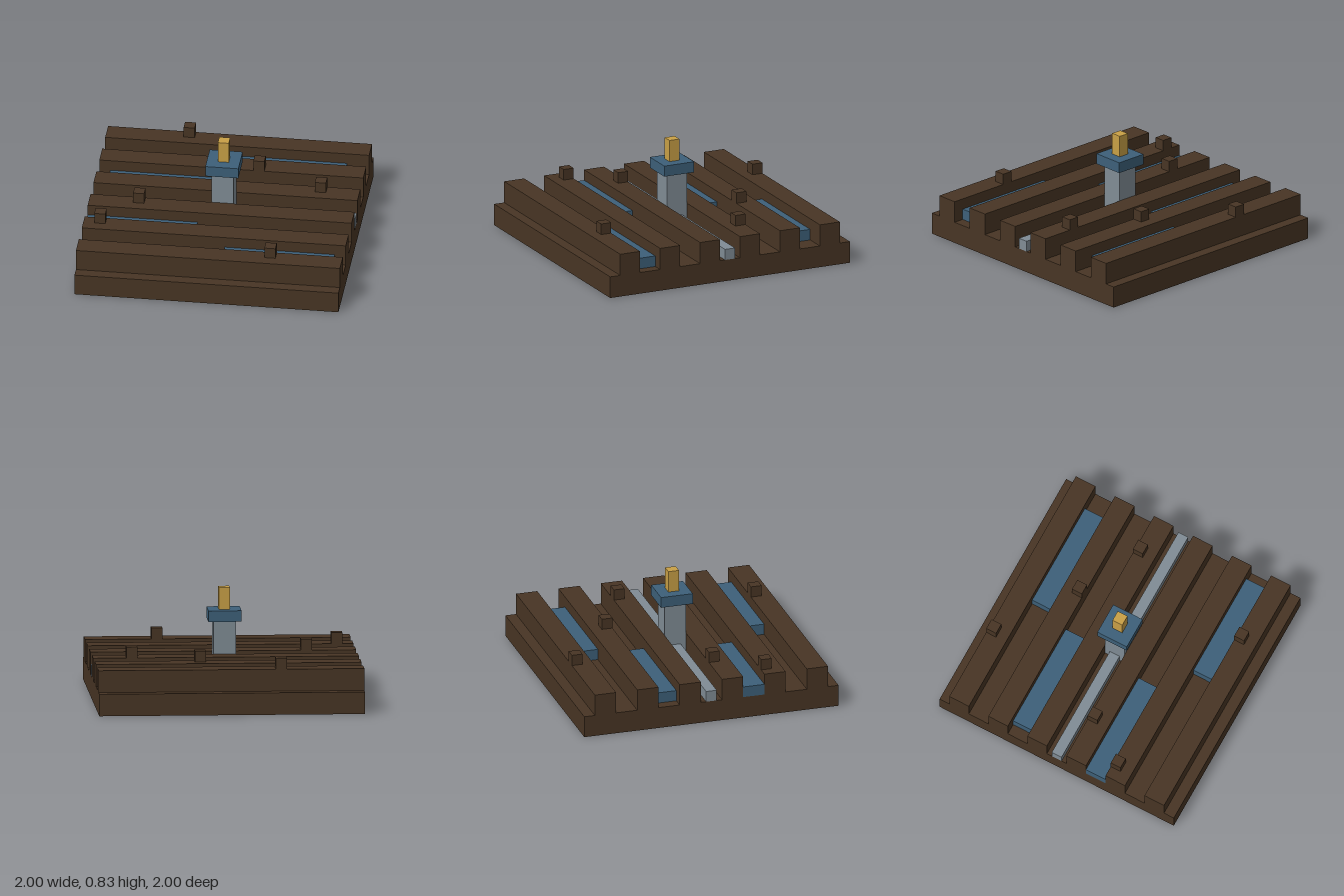
import * as THREE from 'three';

const U = 1 / 12; // one grid unit

const mat = (name, color) => {
  const m = new THREE.MeshStandardMaterial({ color });
  m.name = name;
  return m;
};

export function createModel() {
  const model = new THREE.Group();
  model.name = 'ridgedPlatform';
  const brown = mat('dark brown', 0x483524);
  const blue = mat('slate blue', 0x3d6079);
  const grey = mat('stone grey', 0x808c95);
  const gold = mat('gold', 0xc9a046);

  // Box given by its extents in grid units
  const block = (name, material, [x0, x1], [y0, y1], [z0, z1]) => {
    const geo = new THREE.BoxGeometry((x1 - x0) * U, (y1 - y0) * U, (z1 - z0) * U);
    const mesh = new THREE.Mesh(geo, material);
    mesh.name = name;
    mesh.position.set((x0 + x1) / 2 * U, (y0 + y1) / 2 * U, (z0 + z1) / 2 * U);
    model.add(mesh);
  };

  // Base slab and the six ridges along x
  block('base', brown, [-12, 12], [0, 2], [-12, 12]);
  for (let z = -11; z <= 9; z += 4) block('ridge', brown, [-12, 12], [2, 4], [z, z + 2]);

  // Small cubes on the ridges: [x, z]
  for (const [x, z] of [[-5, -11], [2, -6], [8, -3], [-8, 1], [-11, 5], [5, 9]]) {
    block('ridgeCube', brown, [x, x + 1], [4, 5], [z, z + 1]);
  }

  // Blue bars lying in the channels: [x, z]
  for (const [x, z] of [[0, -9], [-11, -5], [-12, 3], [1, 7]]) {
    block('channelBar', blue, [x, x + 10], [2, 3], [z, z + 2]);
  }

  // Central rail, split around the pillar
  block('railRight', grey, [-12, -1], [2, 3], [-0.5, 0.5]);
  block('railLeft', grey, [1, 12], [2, 3], [-0.5, 0.5]);

  // Pillar with cap and finial
  block('pillar', grey, [-1, 1], [2, 7], [-1, 1]);
  block('pillarCap', blue, [-1.5, 1.5], [7, 8], [-1.5, 1.5]);
  block('finial', gold, [-0.5, 0.5], [8, 10], [-0.5, 0.5]);

  return model;
}
